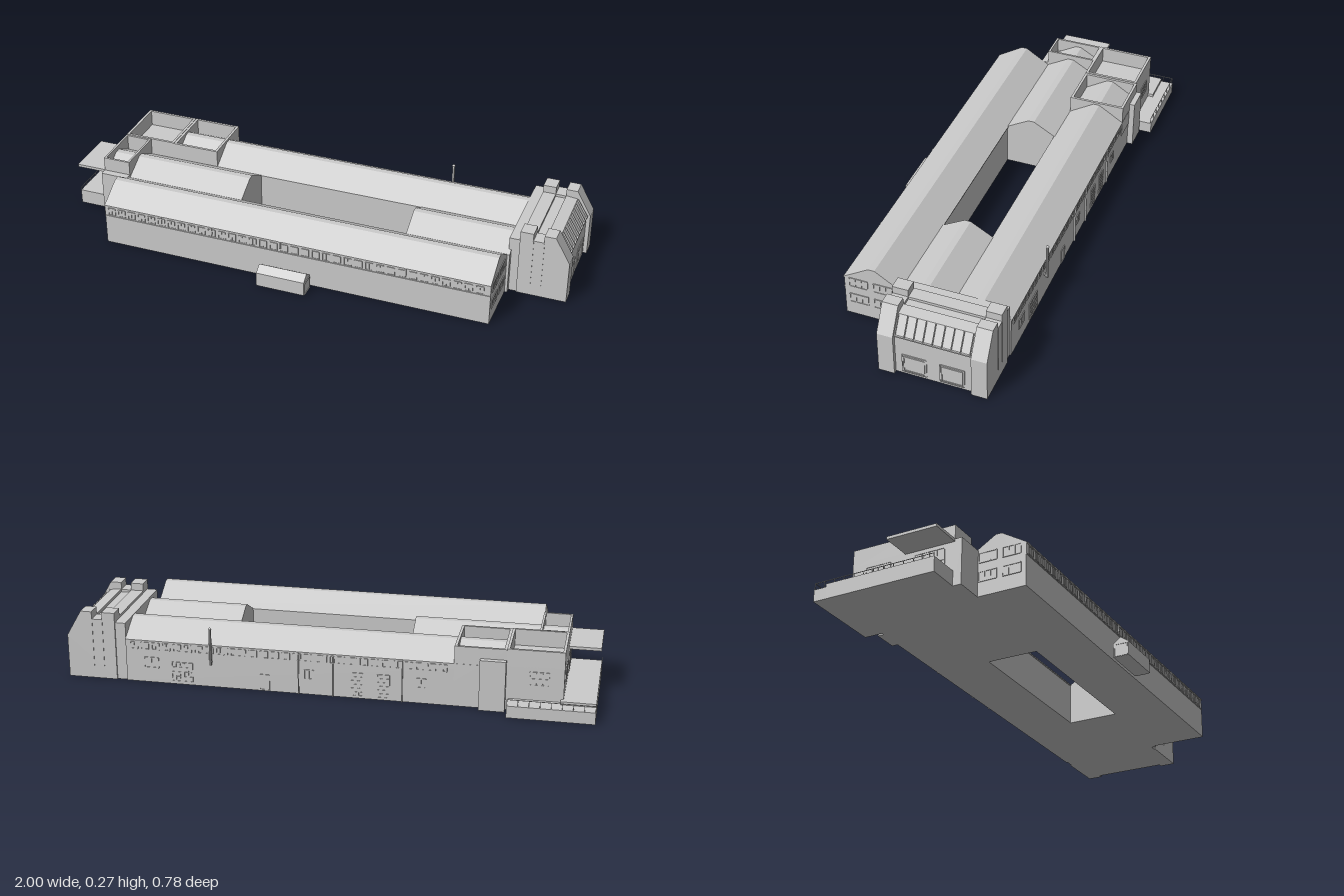
import * as THREE from 'three';

const mat = new THREE.MeshStandardMaterial({ color: 0xcccccc, flatShading: true });

export function createModel() {
  const root = new THREE.Group();

  const add = (name, geo, parent = root) => {
    const m = new THREE.Mesh(geo, mat);
    m.name = name;
    parent.add(m);
    return m;
  };
  // box given by its min and max on each axis
  const box = (name, x0, x1, y0, y1, z0, z1, parent) => {
    const g = new THREE.BoxGeometry(x1 - x0, y1 - y0, z1 - z0);
    g.translate((x0 + x1) / 2, (y0 + y1) / 2, (z0 + z1) / 2);
    return add(name, g, parent);
  };
  // [z, y] profile swept along x
  const sweepX = (name, pts, x0, x1) => {
    const s = new THREE.Shape(pts.map(([z, y]) => new THREE.Vector2(-z, y)));
    const g = new THREE.ExtrudeGeometry(s, { depth: x1 - x0, bevelEnabled: false });
    g.rotateY(Math.PI / 2);
    g.translate(x0, 0, 0);
    return add(name, g);
  };
  // [x, y] profile swept along z
  const sweepZ = (name, pts, z0, z1) => {
    const s = new THREE.Shape(pts.map(([x, y]) => new THREE.Vector2(x, y)));
    const g = new THREE.ExtrudeGeometry(s, { depth: z1 - z0, bevelEnabled: false });
    g.translate(0, 0, z0);
    return add(name, g);
  };
  // gabled wing with a narrow flat ridge and thin eaves
  const wing = (name, x0, x1, z0, z1, eave, ridge) => {
    const c = (z0 + z1) / 2;
    sweepX(name, [[z0, 0], [z1, 0], [z1, eave], [c + 0.012, ridge], [c - 0.012, ridge], [z0, eave]], x0, x1);
    for (const z of [z0, z1]) box(name + 'Eave', x0, x1, eave - 0.005, eave, z - 0.003, z + 0.003);
  };
  // framed window or door; turn = rotation about y so that it faces outward
  const opening = (name, x, y, z, w, h, turn, cols = 1, rows = 1) => {
    const g = new THREE.Group();
    g.name = name;
    const t = 0.003, d = 0.003;
    for (const s of [-1, 1]) {
      box('frameSide', s * w / 2 - t / 2, s * w / 2 + t / 2, -h / 2, h / 2, 0, d, g);
      box('frameRail', -w / 2, w / 2, s * h / 2 - t / 2, s * h / 2 + t / 2, 0, d, g);
    }
    box('pane', -w / 2, w / 2, -h / 2, h / 2, -0.001, 0.001, g);
    for (let i = 1; i < cols; i++) {
      const u = -w / 2 + w * i / cols;
      box('mullion', u - 0.001, u + 0.001, -h / 2, h / 2, 0, d, g);
    }
    for (let i = 1; i < rows; i++) {
      const v = -h / 2 + h * i / rows;
      box('glazingBar', -w / 2, w / 2, v - 0.001, v + 0.001, 0, d, g);
    }
    g.position.set(x, y, z);
    g.rotation.y = turn;
    root.add(g);
  };
  // four walls standing above a roof
  const parapet = (name, x0, x1, z0, z1, y0, y1, t = 0.01) => {
    box(name, x0, x1, y0, y1, z0, z0 + t);
    box(name, x0, x1, y0, y1, z1 - t, z1);
    box(name, x0, x0 + t, y0, y1, z0 + t, z1 - t);
    box(name, x1 - t, x1, y0, y1, z0 + t, z1 - t);
  };
  const BACK = Math.PI, EAST = Math.PI / 2, WEST = -Math.PI / 2;

  // wings around the open courtyard
  wing('frontWing', -0.77, 0.77, 0.1, 0.317, 0.168, 0.227);
  wing('backWing', -0.67, 0.77, -0.32, -0.1, 0.168, 0.227);
  wing('westCrossWing', -0.88, -0.29, -0.1, 0.1, 0.168, 0.217);
  wing('eastCrossWing', 0.38, 0.78, -0.1, 0.1, 0.168, 0.217);

  // window bands under the eaves of both long wings
  for (let x = -0.74; x < 0.76; x += 0.042) opening('frontBandWindow', x, 0.142, 0.317, 0.028, 0.03, 0, 2);
  for (let x = -0.44; x < 0.76; x += 0.042) opening('backBandWindow', x, 0.146, -0.32, 0.028, 0.026, BACK, 2);
  box('frontBandSill', -0.77, 0.77, 0.12, 0.123, 0.315, 0.32);
  for (const x of [-0.53, -0.32, -0.04, 0.45]) box('downpipe', x - 0.003, x + 0.003, 0.138, 0.168, 0.315, 0.322);

  // windows in both gables of the front wing
  for (const z of [0.262, 0.167]) for (const y of [0.148, 0.075]) {
    opening('eastGableWindow', 0.77, y, z, 0.071, 0.037, EAST, 3);
    opening('westGableWindow', -0.77, y, z, 0.071, 0.037, WEST, 3);
  }

  // small gabled porch
  sweepX('porch', [[0.327, 0], [0.389, 0], [0.389, 0.056], [0.358, 0.078], [0.327, 0.056]], -0.11, 0.08);
  for (const [x, t] of [[0.08, EAST], [-0.11, WEST]]) opening('porchDoor', x, 0.026, 0.358, 0.052, 0.048, t);

  // end hall: body, sloping roof with ribs, and stepped corner towers
  sweepZ('endHall', [[0.77, 0], [0.985, 0], [0.985, 0.168], [0.945, 0.235], [0.9, 0.24], [0.9, 0.228],
    [0.77, 0.228]], -0.315, 0.08);
  box('hallRoofBeam', 0.81, 0.86, 0.225, 0.238, -0.262, 0.025);
  box('hallCornice', 0.98, 0.99, 0.165, 0.17, -0.262, 0.025);
  for (let i = 0; i < 9; i++) {
    const z = 0.022 - i * 0.0345;
    sweepZ('roofRib', [[0.985, 0.165], [0.99, 0.172], [0.95, 0.238], [0.945, 0.232]], z - 0.0015, z + 0.0015);
  }
  for (const [z0, z1] of [[0.025, 0.085], [-0.321, -0.262]]) {
    sweepZ('cornerTower', [[0.81, 0], [1, 0], [1, 0.168], [0.943, 0.267], [0.9, 0.267], [0.9, 0.238],
      [0.86, 0.238], [0.86, 0.267], [0.81, 0.267]], z0, z1);
  }
  for (const x of [0.86, 0.9]) for (const z of [0.085, -0.321]) {
    box('towerPilaster', x - 0.002, x + 0.002, 0.05, 0.235, z - 0.002, z + 0.002);
  }
  for (const z of [-0.046, -0.187]) {
    opening('hallWindow', 0.985, 0.049, z, 0.09, 0.077, EAST);
    opening('hallWindowInner', 0.9865, 0.049, z, 0.076, 0.063, EAST);
  }

  // west tower, stair block and the parapets round their roofs
  box('westTower', -0.88, -0.67, 0, 0.175, -0.318, -0.1);
  parapet('towerParapet', -0.88, -0.67, -0.318, -0.1, 0.17, 0.238);
  parapet('wingParapet', -0.67, -0.48, -0.322, -0.1, 0.1, 0.236);
  parapet('crossParapet', -0.88, -0.77, -0.1, 0.1, 0.16, 0.236, 0.008);
  box('cornerAnnex', -0.88, -0.77, 0, 0.18, 0.098, 0.128);
  box('rearAnnex', -0.67, -0.575, 0, 0.195, -0.343, -0.32);
  opening('towerBackWindow', -0.79, 0.13, -0.318, 0.07, 0.05, BACK, 3, 2);
  opening('towerWestWindow', -0.88, 0.13, -0.21, 0.1, 0.05, WEST, 4, 2);
  opening('westEntrance', -0.88, 0.11, 0, 0.12, 0.09, WEST, 4, 2);

  // entrance canopy over the raised terrace
  box('canopy', -1, -0.87, 0.17, 0.181, -0.1, 0.1);
  box('terrace', -1, -0.87, 0, 0.058, -0.34, 0.095);
  box('rearTerrace', -1, -0.68, 0, 0.046, -0.39, -0.31);
  box('westRail', -1, -0.998, 0.069, 0.071, -0.388, 0.095);
  box('rearRail', -1, -0.68, 0.069, 0.071, -0.388, -0.386);
  for (let i = 0; i <= 12; i++) {
    const z = -0.387 + i * 0.04;
    box('westRailPost', -1, -0.998, 0.04, 0.07, z - 0.001, z + 0.001);
  }
  for (let i = 0; i <= 8; i++) {
    const x = -0.999 + i * 0.0396;
    box('rearRailPost', x - 0.001, x + 0.001, 0.04, 0.07, -0.388, -0.386);
  }

  // doors, windows and pipes along the rear wall
  opening('rearWindow', 0.67, 0.08, -0.32, 0.055, 0.04, BACK, 2);
  opening('rearGate', 0.55, 0.05, -0.32, 0.08, 0.075, BACK, 5, 4);
  opening('rearDoor', 0.23, 0.035, -0.32, 0.035, 0.06, BACK);
  for (const x of [-0.12, -0.22]) opening('rearLatticeDoor', x, 0.055, -0.32, 0.045, 0.09, BACK, 3, 6);
  for (const x of [0.06, -0.36]) opening('rearSmallWindow', x, 0.08, -0.32, 0.035, 0.035, BACK, 2);
  for (const x of [0.1, -0.03, -0.29]) box('rearPipe', x - 0.002, x + 0.002, 0, 0.165, -0.326, -0.319);

  // flue on the rear wall
  const flue = new THREE.CylinderGeometry(0.005, 0.005, 0.145, 10);
  flue.translate(0.435, 0.165, -0.331);
  add('flue', flue);
  const cap = new THREE.ConeGeometry(0.007, 0.008, 10);
  cap.translate(0.435, 0.24, -0.331);
  add('flueCap', cap);
  box('flueBracket', 0.431, 0.439, 0.1, 0.106, -0.331, -0.319);

  return root;
}
